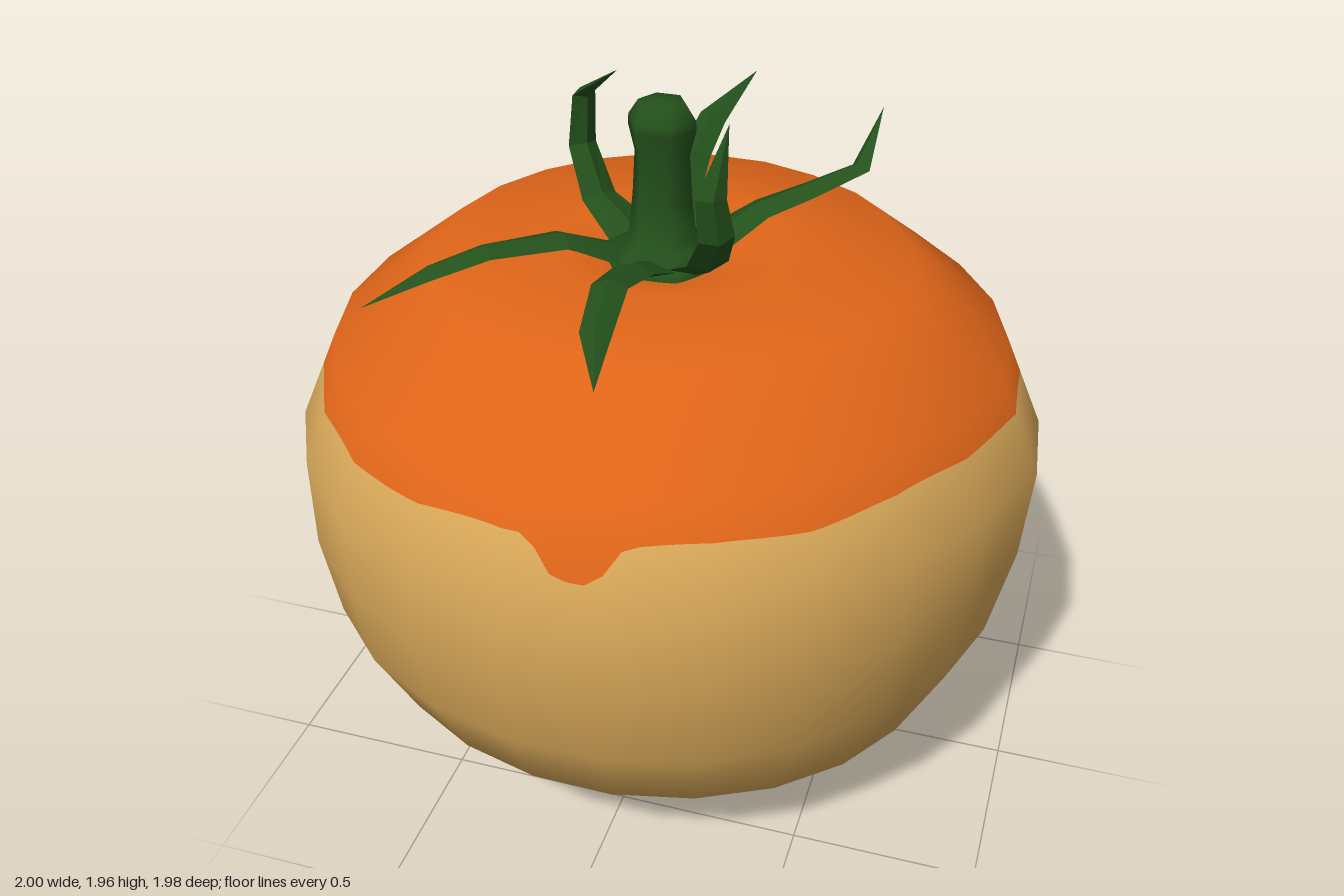
import * as THREE from 'three';

const orange = new THREE.MeshStandardMaterial({ color: 0xdf6519 });
orange.name = 'orange skin';
const tan = new THREE.MeshStandardMaterial({ color: 0xd8a859 });
tan.name = 'tan skin';
const olive = new THREE.MeshStandardMaterial({ color: 0xceba38 });
olive.name = 'olive skin';
const green = new THREE.MeshStandardMaterial({ color: 0x23501b });
green.name = 'stem green';

// Fruit rings from bottom to top:
// x radius, z radius, height, centre x, centre z, tilt along x, tilt along z, lopsidedness
const RINGS = [
  [0, 0, 0.003, 0.05, 0.07, 0, 0, 0],
  [0.305, 0.245, 0.03, -0.055, 0.035, -0.06, -0.04, 0],
  [0.605, 0.54, 0.163, -0.045, 0.045, -0.025, -0.012, 0],
  [0.825, 0.768, 0.325, -0.03, 0.048, -0.012, 0.018, 0],
  [0.947, 0.91, 0.565, -0.02, 0.028, 0, 0.01, 0.25],
  [0.992, 0.975, 0.82, -0.01, 0.015, 0.01, 0.01, 0.75],
  [1, 1, 1.07, 0, 0.003, 0.01, 0.01, 1],
  [0.895, 0.905, 1.305, 0, 0, 0.01, 0.015, 1],
  [0.635, 0.635, 1.5, 0, 0, 0, 0, 0.8],
  [0.3, 0.3, 1.53, 0, 0, 0, 0, 0.4],
  [0.16, 0.16, 1.49, -0.02, 0.01, 0, 0, 0],
  [0, 0, 1.46, -0.03, 0.02, 0, 0, 0],
];
// Lopsided outline of the widest part, one value per side
const OUTLINE = [
  1.008, 0.975, 0.955, 0.953, 0.967, 0.995, 0.997, 0.997, 1.01, 1.008, 1.003, 1.006,
  1.008, 1.01, 1.01, 1.01, 1.01, 1.005, 0.997, 0.978, 0.975, 0.962, 0.97, 0.984,
];
const SIDES = OUTLINE.length, SUB = 6, STEPS = SIDES * SUB, TURN = Math.PI / SIDES;
const angle = (k) => TURN + (k / STEPS) * Math.PI * 2;

// Point of one ring on the faceted outline, at step k around the fruit
function ringPoint(i, k) {
  const [rx, rz, y, cx, cz, tx, tz, lop] = RINGS[i];
  const corner = (n) => {
    const a = angle(n * SUB), m = 1 + lop * (OUTLINE[n % SIDES] - 1);
    const x = rx * m * Math.cos(a), z = rz * m * Math.sin(a);
    return new THREE.Vector3(cx + x, y + tx * x + tz * z, cz + z);
  };
  const n = Math.floor(k / SUB);
  return corner(n).lerp(corner(n + 1), (k % SUB) / SUB);
}

// Smooth outward normal of one ring
function ringNormal(i, k) {
  if (i === 0) return new THREE.Vector3(0, -1, 0);
  if (i === RINGS.length - 1) return new THREE.Vector3(0, 1, 0);
  const lo = RINGS[i - 1], hi = RINGS[i + 1], a = angle(k);
  const dr = hi[0] - lo[0], dy = hi[2] - lo[2];
  return new THREE.Vector3(dy * Math.cos(a), -dr, dy * Math.sin(a)).normalize();
}

// Wavy height of the orange edge, with a blunt drip at the front
function orangeEdge(k) {
  const a = angle(k), x = Math.cos(a);
  const drip = Math.sin(a) > 0 ? 0.085 * Math.exp(-(((x - 0.055) / 0.095) ** 4)) : 0;
  return 1.222 + 0.012 * x + 0.008 * Math.sin(5 * a) + 0.005 * Math.sin(11 * a + 1) - drip;
}
const oliveEdge = (k) => 0.207 - 0.012 * Math.cos(angle(k));

// A row is either a whole ring {ring} or an edge {ring, edge} between that ring and the next
function skinBand(name, material, rows) {
  const pos = [], nor = [], idx = [];
  for (const { ring, edge } of rows) {
    for (let k = 0; k <= STEPS; k++) {
      const p = ringPoint(ring, k), n = ringNormal(ring, k);
      if (edge) {
        const q = ringPoint(ring + 1, k);
        const t = THREE.MathUtils.clamp((edge(k) - p.y) / (q.y - p.y), 0, 1);
        p.lerp(q, t);
        n.lerp(ringNormal(ring + 1, k), t).normalize();
      }
      pos.push(p.x, p.y, p.z);
      nor.push(n.x, n.y, n.z);
    }
  }
  const w = STEPS + 1;
  for (let j = 0; j < rows.length - 1; j++) {
    for (let k = 0; k < STEPS; k++) {
      const a = j * w + k, b = a + w;
      idx.push(a, b, a + 1, b, b + 1, a + 1);
    }
  }
  const geo = new THREE.BufferGeometry();
  geo.setAttribute('position', new THREE.Float32BufferAttribute(pos, 3));
  geo.setAttribute('normal', new THREE.Float32BufferAttribute(nor, 3));
  geo.setIndex(idx);
  const mesh = new THREE.Mesh(geo, material);
  mesh.name = name;
  return mesh;
}

// Pointed leaf swept along a path with a flat diamond cross-section
function leaf(name, path) {
  const widths = [0.08, 0.055, 0.046, 0.04, 0];
  const pts = path.map((p) => new THREE.Vector3(...p));
  const out = new THREE.Vector3(pts[1].x - pts[0].x, 0, pts[1].z - pts[0].z).normalize();
  const side = new THREE.Vector3(0, 1, 0).cross(out);
  const pos = [], idx = [];
  pts.forEach((p, i) => {
    const t = pts[Math.min(i + 1, 4)].clone().sub(pts[Math.max(i - 1, 0)]).normalize();
    const up = t.clone().cross(side).normalize();
    const s = up.clone().cross(t);
    const w = widths[i], h = Math.min(w * 0.45, 0.022);
    for (const [a, b] of [[w, 0], [0, h], [-w, 0], [0, -h]]) {
      const v = p.clone().addScaledVector(s, a).addScaledVector(up, b);
      pos.push(v.x, v.y, v.z);
    }
    if (i === 0) return;
    for (let k = 0; k < 4; k++) {
      const a = (i - 1) * 4 + k, b = (i - 1) * 4 + ((k + 1) % 4);
      idx.push(a, b, b + 4);
      if (i < 4) idx.push(a, b + 4, a + 4);
    }
  });
  let geo = new THREE.BufferGeometry();
  geo.setAttribute('position', new THREE.Float32BufferAttribute(pos, 3));
  geo.setIndex(idx);
  geo = geo.toNonIndexed(); // faceted
  geo.computeVertexNormals();
  const mesh = new THREE.Mesh(geo, green);
  mesh.name = name;
  return mesh;
}

export function createModel() {
  const model = new THREE.Group();
  model.name = 'fruit';
  const whole = (...list) => list.map((ring) => ({ ring }));
  const low = { ring: 2, edge: oliveEdge }, high = { ring: 6, edge: orangeEdge };

  // Skin in three colours
  model.add(
    skinBand('fruitBottom', olive, [...whole(0, 1, 2), low]),
    skinBand('fruitMiddle', tan, [low, ...whole(3, 4, 5, 6), high]),
    skinBand('fruitTop', orange, [high, ...whole(7, 8, 9, 10, 11)]),
  );

  // Six-sided stem with a rounded end
  const profile = [
    [0.165, 1.48], [0.16, 1.51], [0.092, 1.55], [0.08, 1.66], [0.073, 1.78],
    [0.09, 1.85], [0.088, 1.875], [0.062, 1.915], [0, 1.922],
  ].map(([r, y]) => new THREE.Vector2(r, y));
  const stem = new THREE.Mesh(new THREE.LatheGeometry(profile, 6), green);
  stem.rotation.y = Math.PI / 6;
  stem.position.set(-0.027, 0, 0.02);
  stem.name = 'stem';
  model.add(stem);

  // Six leaves, each bent its own way
  const leaves = {
    leafBack: [[-0.03, 1.51, -0.1], [-0.06, 1.57, -0.28], [-0.065, 1.6, -0.4], [-0.05, 1.66, -0.53], [0.035, 1.75, -0.69]],
    leafBackLeft: [[0.08, 1.51, -0.05], [0.2, 1.59, -0.13], [0.31, 1.63, -0.19], [0.43, 1.68, -0.26], [0.46, 1.81, -0.37]],
    leafFrontLeft: [[0.08, 1.51, 0.09], [0.14, 1.57, 0.18], [0.185, 1.68, 0.26], [0.175, 1.79, 0.28], [0.2, 1.96, 0.22]],
    leafFront: [[-0.03, 1.51, 0.14], [-0.03, 1.56, 0.25], [-0.04, 1.59, 0.4], [-0.015, 1.56, 0.57], [0.045, 1.52, 0.76]],
    leafFrontRight: [[-0.13, 1.51, 0.08], [-0.25, 1.57, 0.16], [-0.4, 1.58, 0.3], [-0.53, 1.535, 0.37], [-0.69, 1.45, 0.445]],
    leafBackRight: [[-0.13, 1.51, -0.05], [-0.25, 1.57, -0.12], [-0.315, 1.69, -0.18], [-0.31, 1.83, -0.19], [-0.19, 1.93, -0.12]],
  };
  for (const [name, path] of Object.entries(leaves)) model.add(leaf(name, path));
  return model;
}
